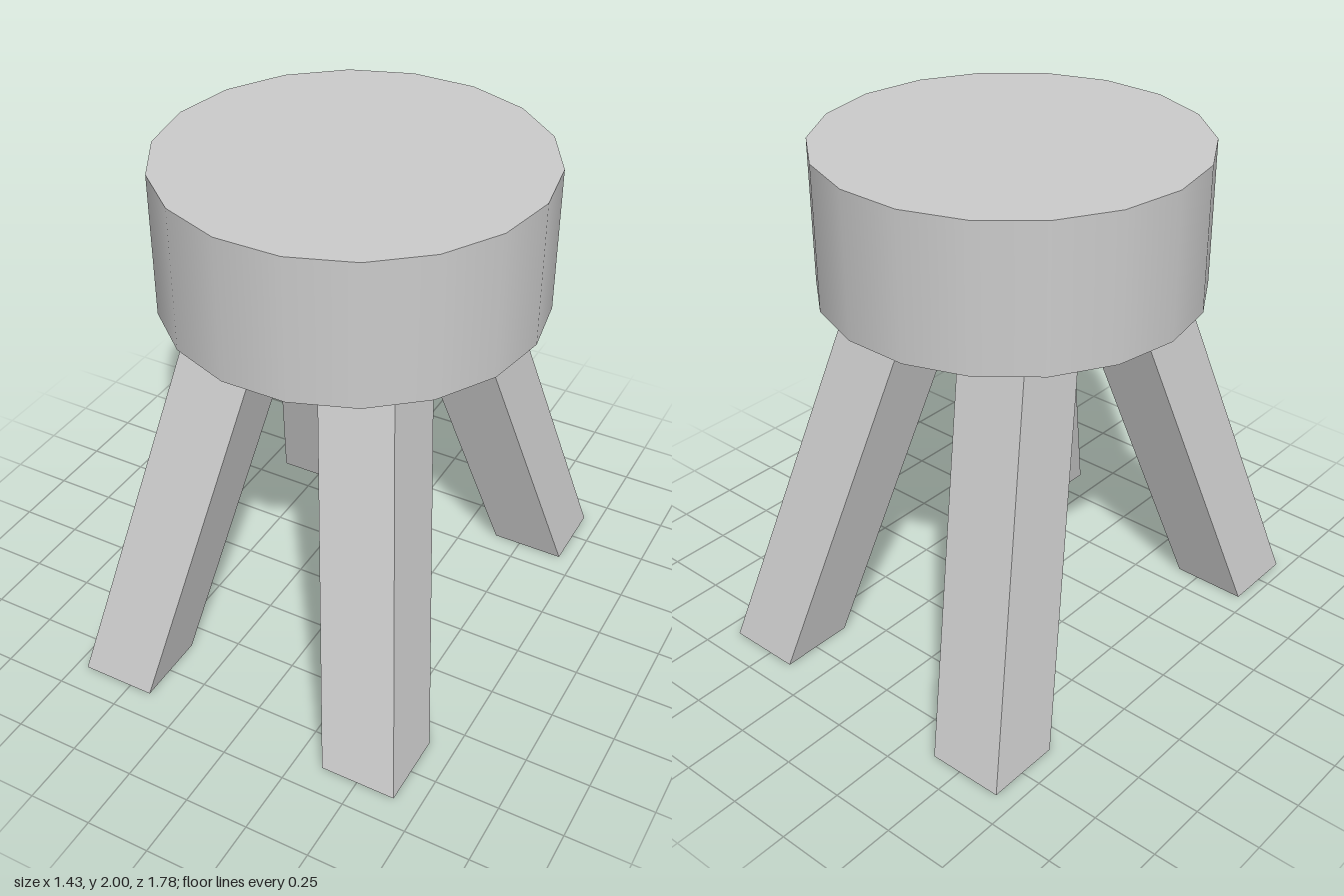
import * as THREE from 'three';

const material = new THREE.MeshStandardMaterial({ color: 0xcccccc });
const SEAT_BOTTOM = 1.45;
const LEG_TOP = 1.5; // legs sink slightly into the seat
const LEG_WIDTH = 0.295;

// Square leg sheared from its foot centre to the point where it meets the seat
function makeLeg(name, [footX, footZ], [topX, topZ]) {
  const geometry = new THREE.BoxGeometry(LEG_WIDTH, LEG_TOP, LEG_WIDTH).translate(0, LEG_TOP / 2, 0);
  const p = geometry.attributes.position;
  for (let i = 0; i < p.count; i++) {
    const t = p.getY(i) / SEAT_BOTTOM;
    p.setX(i, p.getX(i) + THREE.MathUtils.lerp(footX, topX, t));
    p.setZ(i, p.getZ(i) + THREE.MathUtils.lerp(footZ, topZ, t));
  }
  geometry.computeVertexNormals();
  const leg = new THREE.Mesh(geometry, material);
  leg.name = name;
  return leg;
}

export function createModel() {
  const stool = new THREE.Group();
  stool.name = 'stool';

  // Thick round seat, 18 sides with a corner on the x axis
  const height = 2 - SEAT_BOTTOM;
  const seat = new THREE.Mesh(
    new THREE.CylinderGeometry(0.713, 0.713, height, 18).rotateY(Math.PI / 2),
    material
  );
  seat.name = 'seat';
  seat.position.set(0, SEAT_BOTTOM + height / 2, -0.015);
  stool.add(seat);

  // Four splayed legs, each leaning a little differently
  stool.add(
    makeLeg('frontRightLeg', [-0.557, 0.743], [-0.265, 0.307]),
    makeLeg('frontLeftLeg', [0.503, 0.743], [0.258, 0.307]),
    makeLeg('backRightLeg', [-0.525, -0.743], [-0.28, -0.303]),
    makeLeg('backLeftLeg', [0.537, -0.743], [0.243, -0.303])
  );
  return stool;
}
